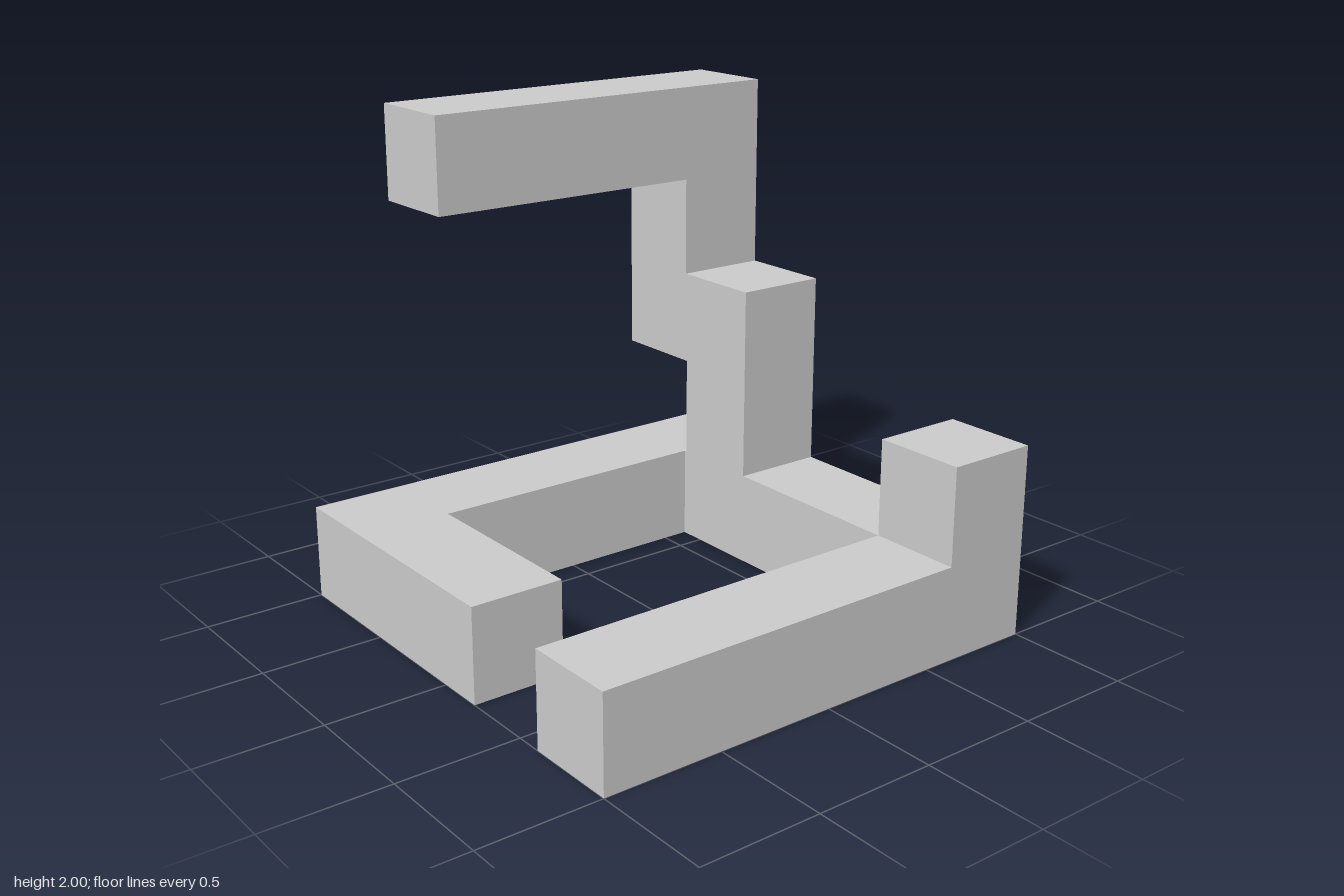
import * as THREE from 'three';

export function createModel() {
  const group = new THREE.Group();
  const material = new THREE.MeshStandardMaterial({ color: 0xcccccc, flatShading: true });
  const W = 0.39;        // beam thickness
  const IN = 1 - W;      // inner face of the outer beams

  const add = (name, geometry) => {
    const mesh = new THREE.Mesh(geometry, material);
    mesh.name = name;
    group.add(mesh);
  };

  // Box given by its extents on each axis
  const beam = (name, [x0, x1], [y0, y1], [z0, z1]) => {
    const g = new THREE.BoxGeometry(x1 - x0, y1 - y0, z1 - z0);
    g.translate((x0 + x1) / 2, (y0 + y1) / 2, (z0 + z1) / 2);
    add(name, g);
  };

  // Stepped side frame: profile points are (-z, y), extruded along x
  const profile = [
    [-1, 0], [1, 0], [1, W], [0.6, W], [0.6, 0.81], [1, 0.81], [1, 2],
    [IN, 2], [IN, 1.2], [0.21, 1.2], [0.21, W], [-IN, W], [-IN, 0.79], [-1, 0.79],
  ].map(([x, y]) => new THREE.Vector2(x, y));
  const side = new THREE.ExtrudeGeometry(new THREE.Shape(profile), { depth: W, bevelEnabled: false });
  side.rotateY(Math.PI / 2).translate(IN, 0, 0);
  add('steppedSideFrame', side);

  // Base beams, running away from the side frame
  beam('frontBaseBeam', [-1, IN], [0, W], [IN, 1]);
  beam('backBaseBeam', [-1, IN], [0, W], [-1, -IN]);
  beam('returnBaseBeam', [-1, -IN], [0, W], [-IN, 0.2]);

  // Top arm, overhanging the back
  beam('topArm', [-0.6, IN], [2 - W, 2], [-1, -IN]);

  return group;
}
